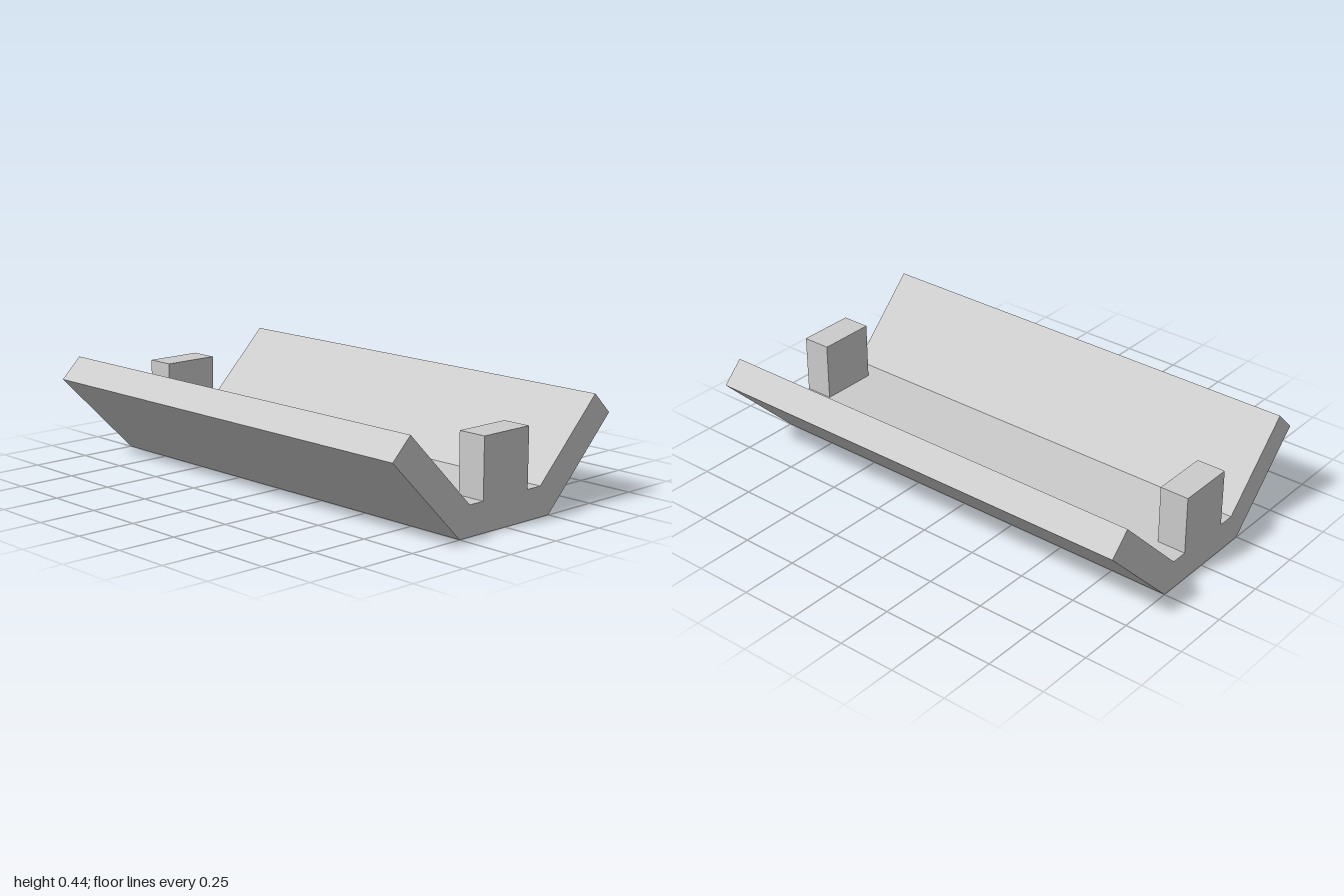
import * as THREE from 'three';

export function createModel() {
  const group = new THREE.Group();
  const material = new THREE.MeshStandardMaterial({ color: 0xcccccc, flatShading: true });

  // Trough: flat base with two walls sloping out at 45 degrees, extruded along x
  const half = [[0.25, 0], [0.604, 0.354], [0.515, 0.442], [0.198, 0.125]];
  const mirrored = half.map(([x, y]) => [-x, y]).reverse();
  const profile = new THREE.Shape([...half, ...mirrored].map(([x, y]) => new THREE.Vector2(x, y)));
  const troughGeometry = new THREE.ExtrudeGeometry(profile, { depth: 2, bevelEnabled: false });
  troughGeometry.translate(0, 0, -1).rotateY(Math.PI / 2);
  const trough = new THREE.Mesh(troughGeometry, material);
  trough.name = 'trough';
  group.add(trough);

  // Upright block at each end, flush with the trough's end faces
  for (const [name, side] of [['leftEndBlock', 1], ['rightEndBlock', -1]]) {
    const block = new THREE.Mesh(new THREE.BoxGeometry(0.125, 0.25, 0.25), material);
    block.name = name;
    block.position.set(side * 0.9375, 0.25, 0);
    group.add(block);
  }

  return group;
}
